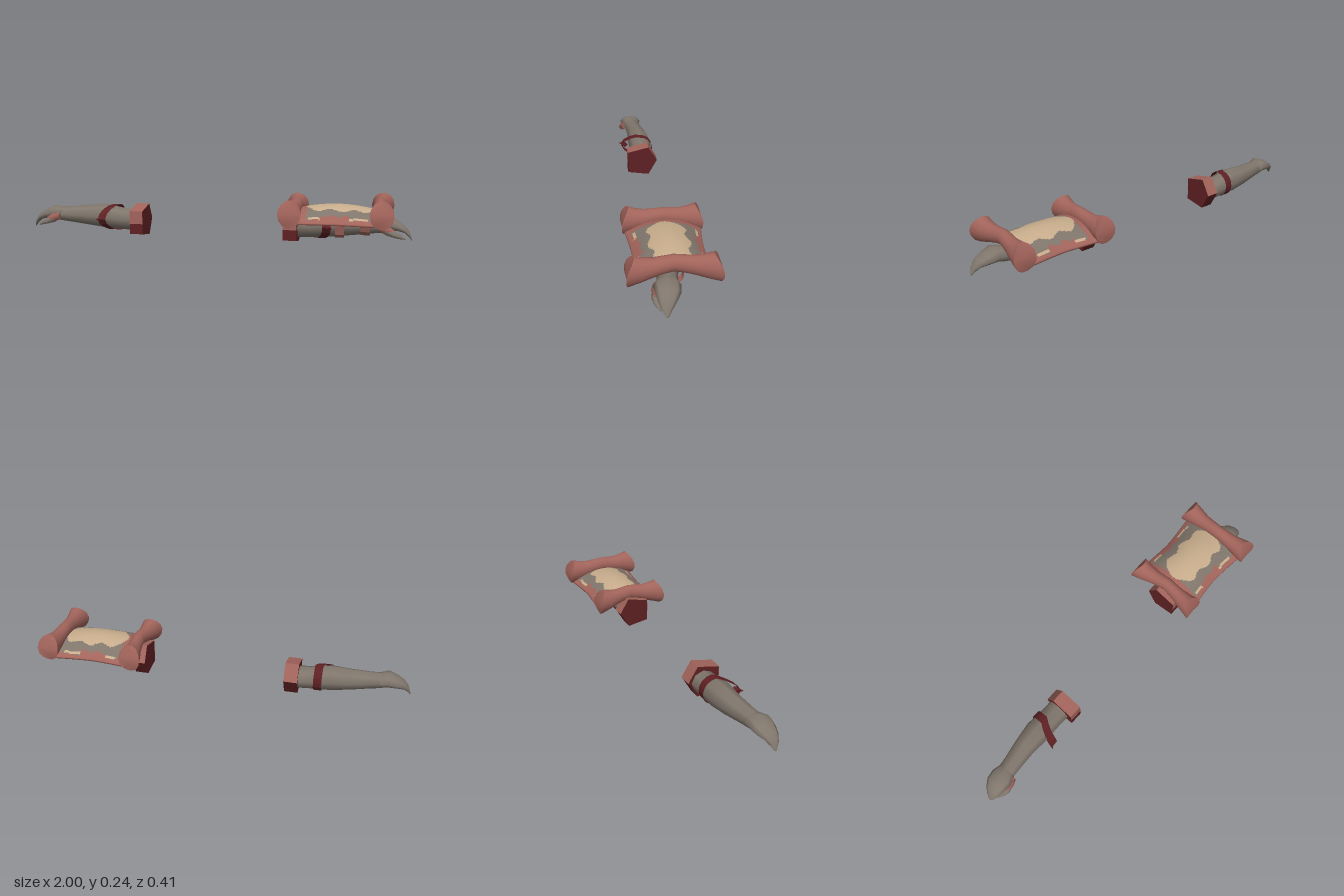
import * as THREE from 'three';

const mat = (name, color, side = THREE.FrontSide) => {
  const m = new THREE.MeshStandardMaterial({ color, side });
  m.name = name;
  return m;
};

// Skin a list of equal-length rings and cap both ends
function loft(rings) {
  const n = rings[0].length, pos = rings.flat(2), idx = [];
  for (let r = 0; r < rings.length - 1; r++)
    for (let i = 0; i < n; i++) {
      const a = r * n + i, b = r * n + (i + 1) % n;
      idx.push(a, a + n, b, b, a + n, b + n);
    }
  [rings[0], rings.at(-1)].forEach((ring, end) => {
    const base = pos.length / 3;
    pos.push(...ring.flat());
    for (let i = 1; i < n - 1; i++)
      idx.push(base, ...(end ? [base + i + 1, base + i] : [base + i, base + i + 1]));
  });
  return surface(pos, idx);
}

function surface(pos, idx) {
  const g = new THREE.BufferGeometry();
  g.setAttribute('position', new THREE.Float32BufferAttribute(pos, 3));
  g.setIndex(idx);
  return g;
}

// Elliptical limb along x; each section is [x, y, z, halfHeight, halfDepth]
const limb = (sections, n = 8) => loft(sections.map(([x, y, z, ry, rz]) =>
  Array.from({ length: n }, (_, i) => {
    const a = (i / n) * Math.PI * 2;
    return [x, y + ry * Math.sin(a), z + rz * Math.cos(a)];
  })));

// Flat ribbon of given width in x through a list of points
function ribbon(points, width, closed) {
  const n = points.length, idx = [];
  const pos = points.flatMap(([x, y, z]) => [x - width / 2, y, z, x + width / 2, y, z]);
  for (let i = 0; i < (closed ? n : n - 1); i++) {
    const a = 2 * i, b = 2 * ((i + 1) % n);
    idx.push(a, a + 1, b, b, a + 1, b + 1);
  }
  return surface(pos, idx);
}

export function createModel() {
  const red = mat('clay red', 0xa2645b);
  const redSheet = mat('clay red sheet', 0xa2645b, THREE.DoubleSide);
  const maroon = mat('dark maroon', 0x5e2023, THREE.DoubleSide);
  const grey = mat('grey brown', 0x80766c);
  const tan = mat('tan hide', 0xc8ad8c);
  const model = new THREE.Group();

  function add(parent, name, geo, material, { flat = false, mirror = false } = {}) {
    if (mirror) {
      geo.scale(-1, 1, 1);
      const ix = geo.index.array;
      for (let i = 0; i < ix.length; i += 3) [ix[i + 1], ix[i + 2]] = [ix[i + 2], ix[i + 1]];
    }
    if (flat) geo = geo.toNonIndexed();
    geo.computeVertexNormals();
    const m = new THREE.Mesh(geo, material);
    m.name = name;
    parent.add(m);
  }

  // Arms, mirrored across x
  for (const [name, mirror] of [['leftArm', false], ['rightArm', true]]) {
    const arm = new THREE.Group();
    arm.name = name;
    model.add(arm);
    const part = (n, geo, m, flat) => add(arm, n, geo, m, { flat, mirror });

    part('forearm', limb([
      [0.42, 0.08, 0, 0.058, 0.062], [0.5, 0.085, 0, 0.058, 0.06], [0.6, 0.098, 0, 0.066, 0.065],
      [0.7, 0.1, 0.005, 0.055, 0.055], [0.8, 0.103, 0.018, 0.043, 0.047], [0.86, 0.106, 0.025, 0.038, 0.045],
    ]), grey);
    part('hand', limb([
      [0.84, 0.105, 0.025, 0.038, 0.046], [0.885, 0.115, 0.03, 0.036, 0.06], [0.93, 0.106, 0.03, 0.026, 0.055],
      [0.965, 0.09, 0.037, 0.018, 0.04], [0.988, 0.065, 0.042, 0.014, 0.022], [1, 0.038, 0.043, 0.004, 0.006],
    ]), grey);
    part('thumb', limb([
      [0.87, 0.085, 0.07, 0.022, 0.022], [0.91, 0.07, 0.082, 0.016, 0.017],
      [0.94, 0.06, 0.078, 0.012, 0.013], [0.967, 0.047, 0.068, 0.003, 0.004],
    ], 6), grey);
    part('gloveTrim', limb([
      [0.845, 0.098, 0.055, 0.022, 0.03], [0.88, 0.09, 0.07, 0.028, 0.028], [0.915, 0.082, 0.075, 0.008, 0.012],
    ], 6), red);

    // Five-sided cuff with a lighter wrap over its upper faces
    const corners = [[0.018, 0.085], [0.138, 0.085], [0.165, -0.03], [0.085, -0.078], [0, -0.03]];
    part('cuff', loft([0.37, 0.44].map(x => corners.map(([y, z]) => [x, y, z]))), maroon, true);
    const wrap = [[0.072, 0.0865], [0.1395, 0.0865], [0.167, -0.0305], [0.0855, -0.0795]];
    part('cuffWrap', ribbon(wrap.map(([y, z]) => [0.405, y, z]), 0.07, false), redSheet, true);

    // Elbow band that comes to a point at the front
    const band = Array.from({ length: 16 }, (_, i) => {
      const a = (i / 16) * Math.PI * 2, front = Math.max(0, Math.cos(a));
      return [0.54 + 0.05 * front, 0.093 + 0.069 * Math.sin(a), 0.068 * Math.cos(a) + 0.04 * front ** 4];
    });
    part('elbowBand', ribbon(band, 0.042, true), maroon, true);
    part('bandTip', limb([[0.585, 0.093, 0.085, 0.018, 0.015], [0.615, 0.093, 0.117, 0.002, 0.002]], 4), maroon, true);
  }

  // Shield of stretched hide, arched across z
  const shield = new THREE.Group();
  shield.name = 'shield';
  model.add(shield);
  const NU = 64, NV = 56;
  const point = (u, v, drop) => {
    const dome = 1 - v * v;
    return [0.43 + 0.41 * u, 0.122 + dome * (0.052 + 0.026 * Math.sin(Math.PI * u)) - drop,
      -0.008 + v * (0.164 + 0.019 * Math.abs(2 * u - 1) ** 1.4)];
  };
  // Scalloped tan centre, grey surround and red border
  const zone = ([x, , z]) => {
    const d = Math.abs(z + 0.01), t = (x - 0.652) / 0.175;
    if (Math.abs(t) < 1 && d < 0.088 * Math.sqrt(1 - t ** 4) + 0.011 * Math.cos((x - 0.54) * 52)) return 'tan';
    const side = x < 0.56 || x > 0.7;
    if (side && x > 0.5 && x < 0.79 && d > 0.138 && d < 0.15) return 'tan';
    const limit = (side ? 0.15 : 0.128) + 0.006 * Math.sin(x * 90);
    return x > 0.485 && x < 0.815 && d < limit ? 'grey' : 'red';
  };
  const pos = [], faces = { red: [], grey: [], tan: [] };
  for (const drop of [0, 0.008])
    for (let j = 0; j <= NV; j++)
      for (let i = 0; i <= NU; i++) pos.push(...point(i / NU, 2 * j / NV - 1, drop));
  const layer = (NU + 1) * (NV + 1);
  for (let j = 0; j < NV; j++)
    for (let i = 0; i < NU; i++) {
      const a = j * (NU + 1) + i, b = a + NU + 1, c = a + layer, d = b + layer;
      faces[zone(point((i + 0.5) / NU, 2 * (j + 0.5) / NV - 1, 0))].push(a, b, a + 1, a + 1, b, b + 1);
      faces.red.push(c, c + 1, d, c + 1, d + 1, d);
      if (j === 0) faces.red.push(a, a + 1, c, c, a + 1, c + 1);
      if (j === NV - 1) faces.red.push(b, d, b + 1, d, d + 1, b + 1);
    }
  const shell = surface(pos, [...faces.red, ...faces.grey, ...faces.tan]);
  let start = 0;
  ['red', 'grey', 'tan'].forEach((k, i) => {
    shell.addGroup(start, faces[k].length, i);
    start += faces[k].length;
  });
  add(shield, 'hidePlate', shell, [red, grey, tan]);

  // Flared rolls with rounded ends: [z, y, radius, outward shift]
  const half = [[0.045, 0.189, 0.041, 0.003], [0.09, 0.181, 0.045, 0.006],
    [0.14, 0.176, 0.056, 0.01], [0.19, 0.172, 0.069, 0.013]];
  const profile = [...half.map(([z, ...r]) => [-z, ...r]).reverse(), [0, 0.195, 0.039, 0], ...half];
  for (const [name, x, out, dy, k, zo] of [['innerRoll', 0.426, -1, -0.008, 0.92, -0.005], ['outerRoll', 0.842, 1, 0.003, 0.99, -0.003]]) {
    const rings = profile.map(([z, y, r, shift]) => Array.from({ length: 14 }, (_, i) => {
      const a = (i / 14) * Math.PI * 2, up = -Math.sin(a);
      const end = Math.abs(z) > 0.18 ? Math.sign(z) * (0.017 - 0.0125 * up - 0.0245 * up * up) : 0;
      return [x + out * shift + r * 0.83 * Math.cos(a), y + dy + r * up, (z + end) * k + zo];
    }));
    add(shield, name, loft(rings), red);
  }

  // Straps holding the arm under the shield
  for (const [x, w, low] of [[0.65, 0.066, 0.035], [0.775, 0.056, 0.052]]) {
    add(shield, 'armStrap', ribbon([
      [x, 0.145, 0.085], [x, 0.11, w + 0.014], [x, low + 0.02, w], [x, low, 0.03],
      [x, low, -0.025], [x, low + 0.025, -w + 0.005], [x, 0.11, -w], [x, 0.155, -0.07],
    ], 0.044, false), redSheet, { flat: true });
  }
  return model;
}
